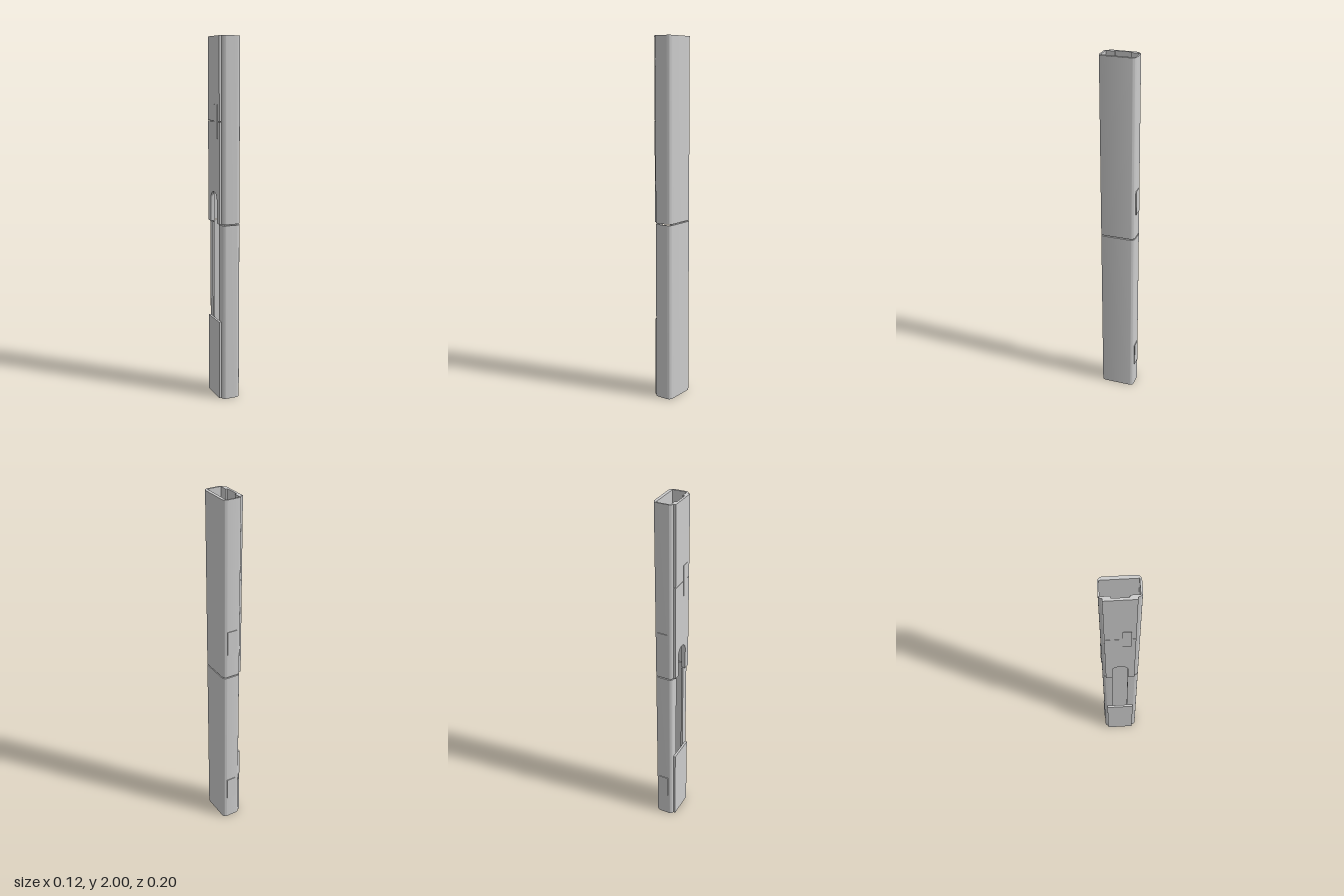
import * as THREE from 'three';
import { toCreasedNormals } from 'three/addons/utils/BufferGeometryUtils.js';

const material = new THREE.MeshStandardMaterial({ color: 0xcccccc });

// Main dimensions of the C-shaped tube
const LEFT = -0.045, RIGHT = 0.06, BACK = -0.096, FRONT = 0.1;
const SLOT = 0.042, COVER_HALF = 0.078, COVER_DEPTH = 0.0125;
const JOINT = 1.0, GAP = 0.006;

function addMesh(group, geometry, name) {
  const mesh = new THREE.Mesh(geometry, material);
  mesh.name = name;
  group.add(mesh);
  return mesh;
}

function addBox(group, name, x0, x1, y0, y1, z0, z1) {
  const box = addMesh(group, new THREE.BoxGeometry(x1 - x0, y1 - y0, z1 - z0), name);
  box.position.set((x0 + x1) / 2, (y0 + y1) / 2, (z0 + z1) / 2);
}

// Cross-section with rounded outside, square inside and a slot on the -x side
function channelShape() {
  const s = new THREE.Shape();
  const top = -BACK, bottom = -FRONT, rl = 0.02, rr = 0.024;
  const inL = -0.034, inR = 0.043, inTop = 0.088, inBottom = -0.09;
  s.moveTo(LEFT, -SLOT);
  s.lineTo(LEFT, bottom + rl);
  s.absarc(LEFT + rl, bottom + rl, rl, Math.PI, Math.PI * 1.5, false);
  s.absarc(RIGHT - rr, bottom + rr, rr, Math.PI * 1.5, Math.PI * 2, false);
  s.absarc(RIGHT - rr, top - rr, rr, 0, Math.PI / 2, false);
  s.absarc(LEFT + rl, top - rl, rl, Math.PI / 2, Math.PI, false);
  s.lineTo(LEFT, SLOT);
  s.lineTo(inL, SLOT);
  s.lineTo(inL, inTop);
  s.lineTo(inR, inTop);
  s.lineTo(inR, inBottom);
  s.lineTo(inL, inBottom);
  s.lineTo(inL, -SLOT);
  s.closePath();
  return s;
}

function addChannel(group, name, y0, y1) {
  const geo = new THREE.ExtrudeGeometry(channelShape(), {
    depth: y1 - y0, bevelEnabled: false, curveSegments: 8,
  });
  geo.rotateX(-Math.PI / 2);
  geo.translate(0, y0, 0);
  addMesh(group, toCreasedNormals(geo, 0.6), name);
}

// Flat cover over the slot, optionally with an arched notch in its lower edge
function addCover(group, name, y0, y1, archHeight = 0) {
  const s = new THREE.Shape();
  s.moveTo(-COVER_HALF, y0);
  if (archHeight > 0) {
    s.lineTo(-SLOT, y0);
    s.absarc(0, y0 + archHeight - SLOT, SLOT, Math.PI, 0, true);
    s.lineTo(SLOT, y0);
  }
  s.lineTo(COVER_HALF, y0);
  s.lineTo(COVER_HALF, y1);
  s.lineTo(-COVER_HALF, y1);
  s.closePath();
  const geo = new THREE.ExtrudeGeometry(s, {
    depth: COVER_DEPTH, bevelEnabled: false, curveSegments: 20,
  });
  geo.rotateY(-Math.PI / 2);
  geo.translate(LEFT, 0, 0);
  addMesh(group, toCreasedNormals(geo, 0.6), name);
}

export function createModel() {
  const model = new THREE.Group();
  model.name = 'slottedPost';

  // Two stacked tube sections with a narrow joint
  addChannel(model, 'lowerChannel', 0, JOINT - GAP / 2);
  addChannel(model, 'upperChannel', JOINT + GAP / 2, 2);

  // Slot covers
  addCover(model, 'lowerCover', 0, 0.45);
  addCover(model, 'middleCover', JOINT + GAP / 2, 1.554, 0.17);
  addCover(model, 'upperCover', 1.557, 2);

  // Latch bridging the two upper covers
  addBox(model, 'latch', -0.06, -0.027, 1.465, 1.645, 0.011, 0.055);

  // Thin plates on the back
  for (const [i, y] of [0.145, 1.145].entries()) {
    addBox(model, 'backPlate' + (i + 1), -0.017, 0.038, y, y + 0.137, -0.1, BACK + 0.002);
  }
  return model;
}
